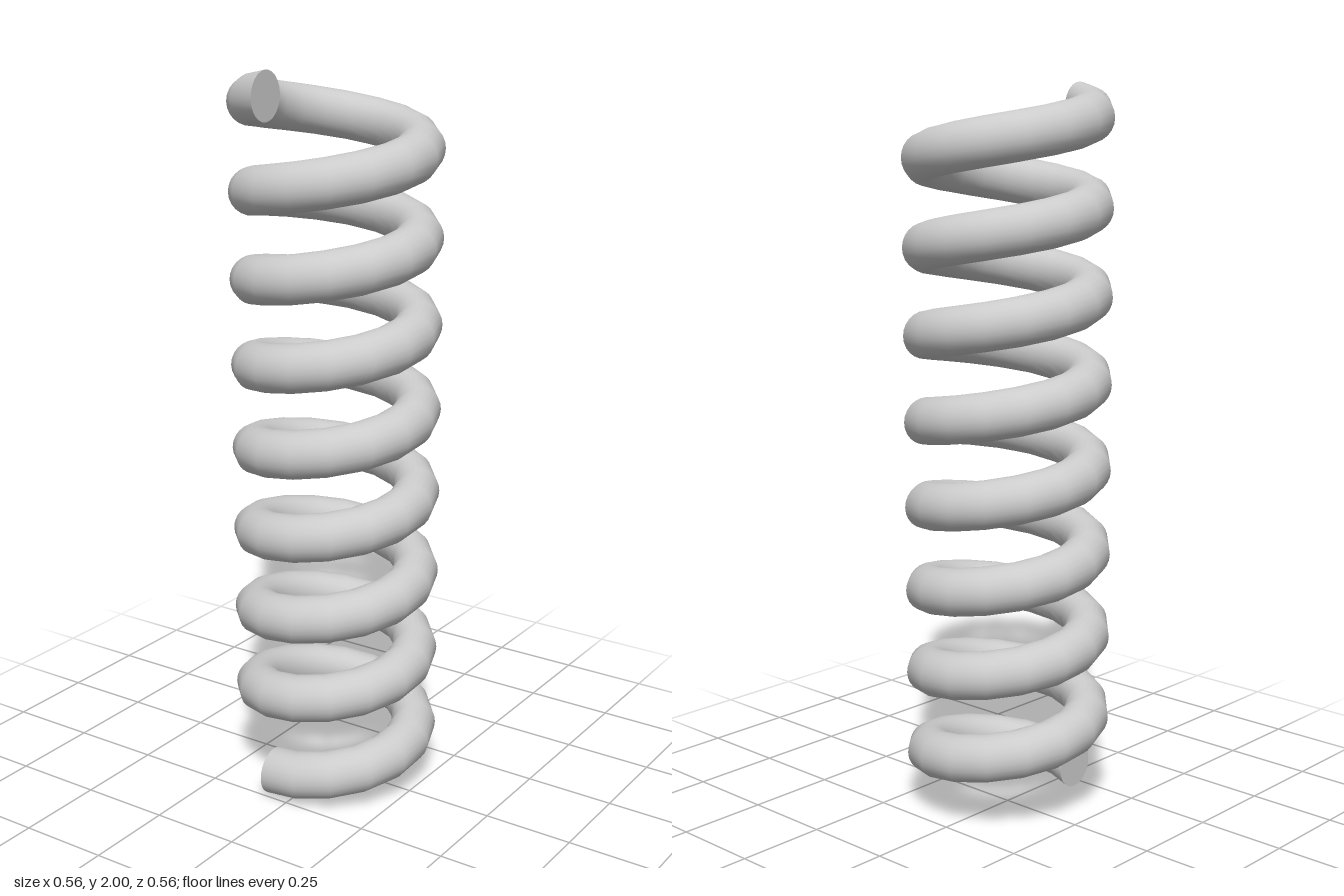
import * as THREE from 'three';

const TURNS = 8, STEPS = 16, SIDES = 24;
const COIL_RADIUS = 0.222, WIRE_RADIUS = 0.065, HEIGHT = 2;
const START = THREE.MathUtils.degToRad(-18.4);
const LEAD = THREE.MathUtils.degToRad(20.5); // sections are turned ahead of the radius

// Centre and heading of the i-th wire section
function section(i) {
  const angle = START + (i / STEPS) * Math.PI * 2;
  const rise = (HEIGHT - 2 * WIRE_RADIUS) * i / (TURNS * STEPS);
  return {
    centre: new THREE.Vector3(COIL_RADIUS * Math.sin(angle), WIRE_RADIUS + rise, COIL_RADIUS * Math.cos(angle)),
    turn: angle + LEAD,
  };
}

// Upright circular sections joined along the helix
function wireGeometry() {
  const positions = [], index = [];
  const count = TURNS * STEPS;
  for (let i = 0; i <= count; i++) {
    const { centre, turn } = section(i);
    for (let j = 0; j < SIDES; j++) {
      const a = (j / SIDES) * Math.PI * 2;
      const out = WIRE_RADIUS * Math.cos(a);
      positions.push(
        centre.x + out * Math.sin(turn),
        centre.y + WIRE_RADIUS * Math.sin(a),
        centre.z + out * Math.cos(turn));
      if (i === count) continue;
      const p = i * SIDES + j, q = i * SIDES + (j + 1) % SIDES;
      index.push(p, p + SIDES, q, q, p + SIDES, q + SIDES);
    }
  }
  const geometry = new THREE.BufferGeometry();
  geometry.setAttribute('position', new THREE.Float32BufferAttribute(positions, 3));
  geometry.setIndex(index);
  geometry.computeVertexNormals();
  return geometry;
}

export function createModel() {
  const model = new THREE.Group();
  model.name = 'coilSpring';
  const material = new THREE.MeshStandardMaterial({ color: 0xcccccc });

  const wire = new THREE.Mesh(wireGeometry(), material);
  wire.name = 'coiledWire';
  model.add(wire);

  // Flat discs closing both wire ends
  const disc = new THREE.CircleGeometry(WIRE_RADIUS, SIDES);
  for (const [name, i, facing] of [['bottomEnd', 0, -1], ['topEnd', TURNS * STEPS, 1]]) {
    const { centre, turn } = section(i);
    const cap = new THREE.Mesh(disc, material);
    cap.name = name;
    cap.position.copy(centre);
    cap.rotation.y = turn + facing * Math.PI / 2;
    model.add(cap);
  }
  return model;
}
